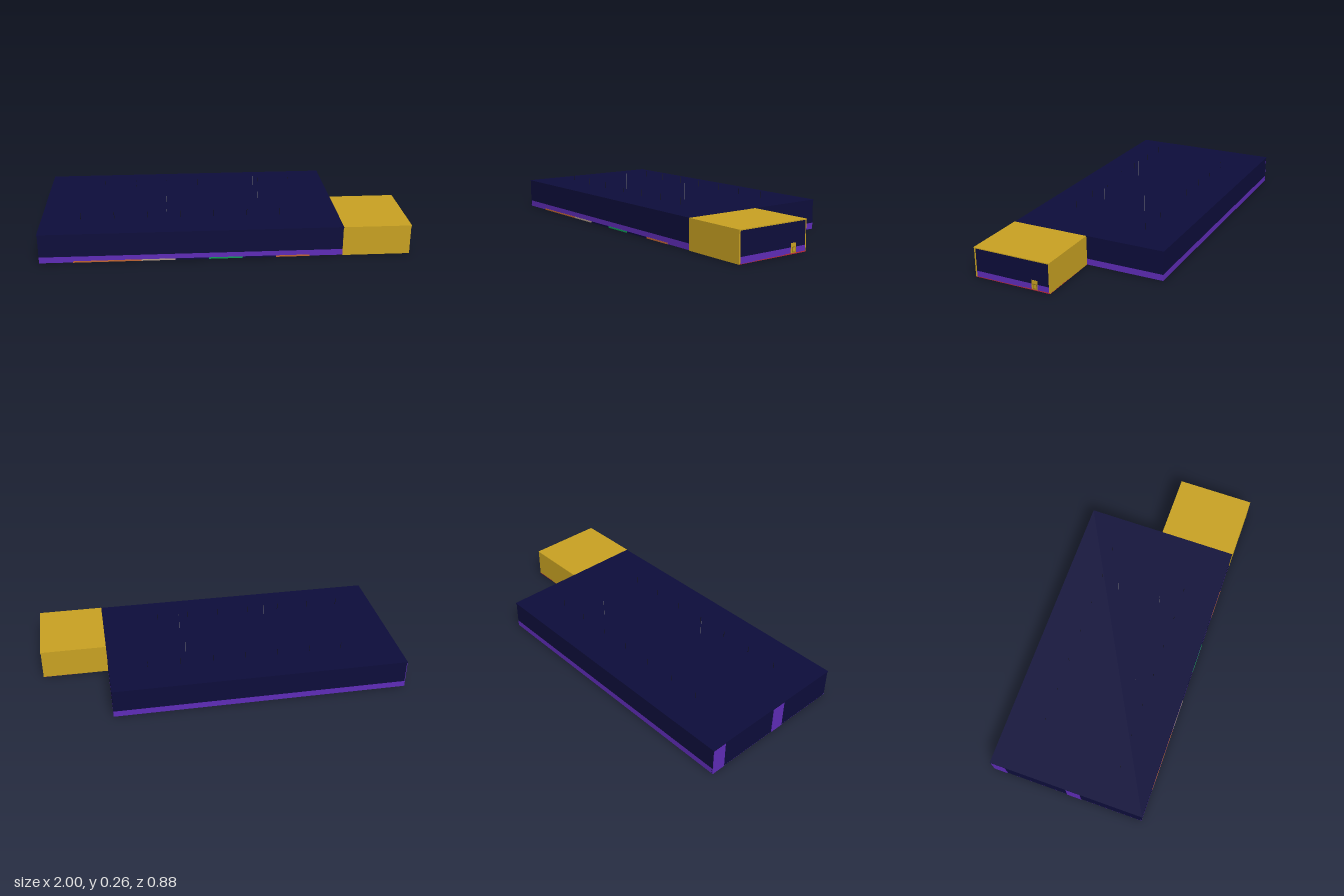
import * as THREE from 'three';

const mat = (name, color) => Object.assign(new THREE.MeshStandardMaterial({ color }), { name });

export function createModel() {
  const model = new THREE.Group();
  model.name = 'exhibitionHall';
  const navy = mat('navy', 0x0d0d3b);
  const purple = mat('purple', 0x5f2cb8);
  const gold = mat('gold', 0xc9a222);
  const darkGold = mat('dark gold', 0x8f7218);
  const red = mat('red', 0xb8293a);
  const green = mat('green', 0x0f9a55);
  const brown = mat('brown', 0xc06432);
  const beige = mat('beige', 0xb09886);
  const black = mat('black', 0x151518);
  const grey = mat('grey', 0x77777c);

  // Box given by its limits on each axis
  function box(name, material, [x0, x1], [y0, y1], [z0, z1], parent = model) {
    const mesh = new THREE.Mesh(new THREE.BoxGeometry(x1 - x0, y1 - y0, z1 - z0), material);
    mesh.position.set((x0 + x1) / 2, (y0 + y1) / 2, (z0 + z1) / 2);
    mesh.name = name;
    parent.add(mesh);
    return mesh;
  }

  // Wall with a purple skirting below and navy above
  function wall(name, x, z) {
    const group = new THREE.Group();
    group.name = name;
    box('skirting', purple, x, [0.002, 0.035], z, group);
    box('upperWall', navy, x, [0.035, 0.161], z, group);
    model.add(group);
  }

  const T = 0.006;    // wall thickness
  const X0 = -0.997, XM = 0.63, X1 = 0.997, Z = 0.436;

  // Hall shell
  box('hallFloor', purple, [X0, XM], [0.001, 0.004], [-Z, Z]);
  box('hallRoof', navy, [-1, XM + 0.002], [0.16, 0.165], [-0.44, 0.438]);
  wall('frontWall', [X0, XM], [Z - T, Z]);
  wall('backWall', [X0, XM], [-Z, -Z + T]);
  wall('hallRightWall', [XM - T, XM], [-Z + T, 0]);
  box('endWall', navy, [X0, X0 + T], [0.002, 0.16], [-Z, Z]);

  // Upright panels on the end wall
  for (const z of [-0.436, 0.0]) {
    box('endPanel', purple, [-1, X0], [0.002, 0.16], [z, z + 0.08]);
  }

  // Entrance annex
  box('annexFloor', red, [XM, X1], [0, 0.004], [0, Z]);
  box('annexRoof', gold, [XM + 0.002, 1], [0.16, 0.165], [0, 0.44]);
  box('annexFrontWall', gold, [XM, X1], [0, 0.16], [Z - T, 0.439]);
  box('annexBackWall', gold, [XM, X1], [0, 0.16], [0, T]);
  wall('annexEndWall', [X1 - T, X1], [T, Z - T]);
  box('entranceRug', red, [X1, 0.999], [0.002, 0.006], [0, 0.145]);

  // Gold door with a framed lower panel
  box('door', gold, [X1, 0.999], [0.006, 0.056], [0.071, 0.104]);
  box('doorPanel', darkGold, [0.999, 0.9995], [0.009, 0.037], [0.073, 0.097]);
  box('doorInset', gold, [0.9995, 1], [0.013, 0.033], [0.077, 0.093]);

  // Booth carpets in two rows, starting at the entrance end
  function carpets(colors, start, step, z) {
    colors.forEach((m, i) => {
      const x = start - i * step;
      box('boothCarpet', m, [x - step, x], [0, 0.008], z);
    });
  }
  carpets([green, brown, green, beige, green, brown, navy], 0.43, 0.184, [-0.4, -0.25]);
  carpets([brown, navy, green, navy, beige, brown, brown], 0.45, 0.181, [0.29, 0.438]);

  // Thin hanging rods that pass through the roof
  function rod(name, m, x, z, top, r) {
    const h = top - 0.1;
    const mesh = new THREE.Mesh(new THREE.CylinderGeometry(r, r, h, 6), m);
    mesh.position.set(x, 0.1 + h / 2, z);
    mesh.name = name;
    model.add(mesh);
  }
  for (let i = 0; i < 7; i++) {
    rod('frontBoothRod', black, -0.785 + i * 0.1825, 0.24, 0.202, 0.0015);
    rod('backBoothRod', black, -0.675 + i * 0.1825, -0.24, 0.202, 0.0012);
  }
  for (const [x, z] of [[-0.315, 0.16], [0.195, 0.127], [0.195, -0.122]]) {
    rod('tallRod', grey, x, z, 0.258, 0.001);
  }
  return model;
}
